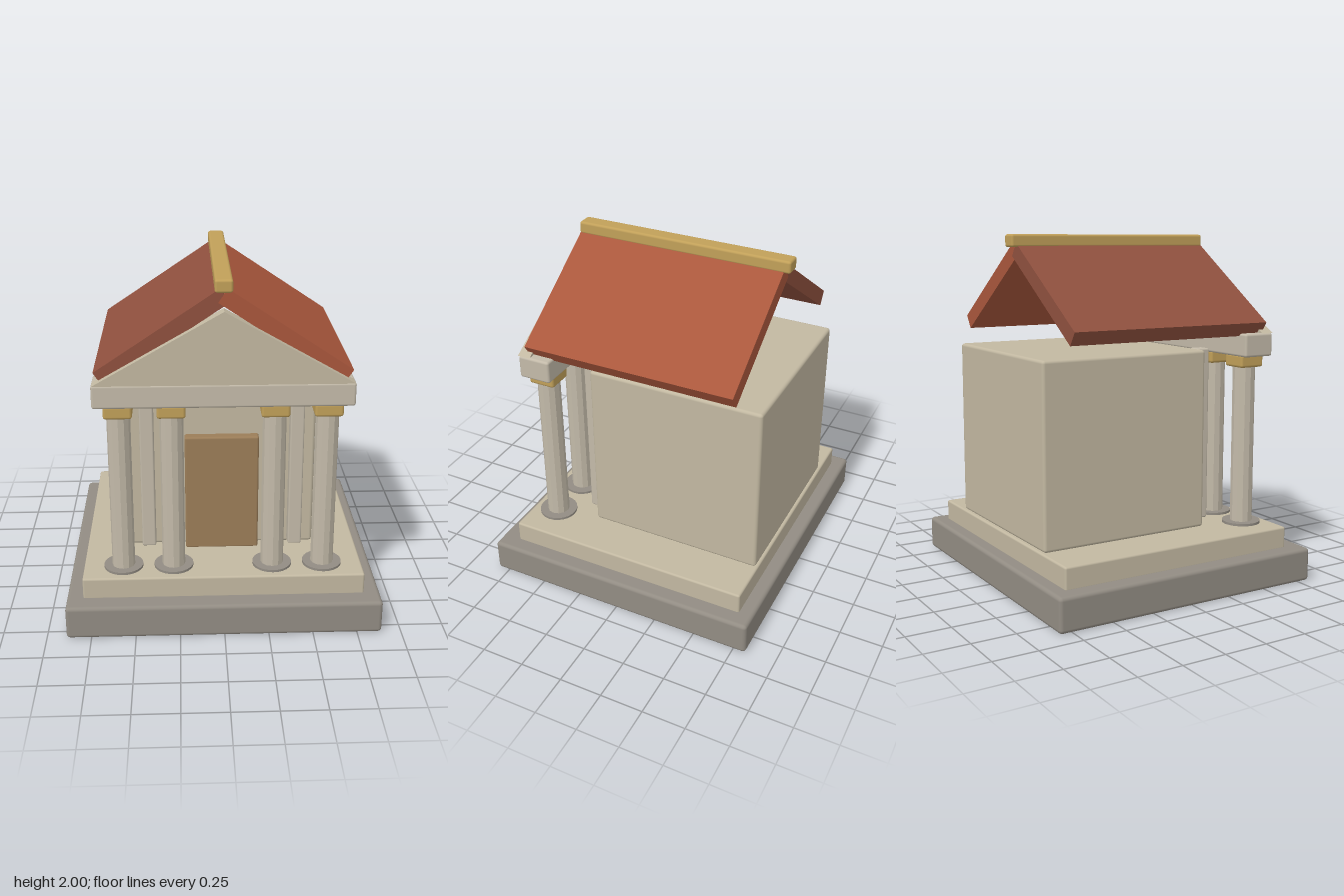
import * as THREE from 'three';
import { RoundedBoxGeometry } from 'three/addons/geometries/RoundedBoxGeometry.js';

const material = (name, color, extra = {}) => {
  const m = new THREE.MeshStandardMaterial({ color, ...extra });
  m.name = name;
  return m;
};

export function createModel() {
  const model = new THREE.Group();
  model.name = 'temple';

  const darkStone = material('darkStone', 0x928c83);
  const limestone = material('limestone', 0xc2b8a1);
  const marble = material('marble', 0xc3baa9);
  const fluted = marble.clone();
  fluted.flatShading = true;
  const gold = material('gold', 0xc1a059);
  const wood = material('wood', 0x9b7d58);
  const tileBright = material('tileBright', 0xa9573c);
  const tileDull = material('tileDull', 0x8f503e);

  const add = (name, geometry, mat, x = 0, y = 0, z = 0, parent = model) => {
    const mesh = new THREE.Mesh(geometry, mat);
    mesh.name = name;
    mesh.position.set(x, y, z);
    parent.add(mesh);
    return mesh;
  };

  // Soft-edged block given by its extents on each axis
  const block = (name, mat, [x0, x1], [y0, y1], [z0, z1], radius = 0.012, parent = model) =>
    add(name, new RoundedBoxGeometry(x1 - x0, y1 - y0, z1 - z0, 2, radius), mat,
      (x0 + x1) / 2, (y0 + y1) / 2, (z0 + z1) / 2, parent);

  // Stepped platform
  block('base', darkStone, [-0.89, 0.89], [0, 0.195], [-0.825, 0.825], 0.022);
  block('step', limestone, [-0.797, 0.797], [0.185, 0.316], [-0.743, 0.715], 0.012);

  // Inner chamber with its door and wall posts
  block('chamber', limestone, [-0.541, 0.541], [0.316, 1.35], [-0.73, 0.31], 0.018);
  block('door', wood, [-0.213, 0.213], [0.31, 1.02], [0.29, 0.365], 0.012);
  for (const s of [-1, 1]) {
    const x = s * 0.428;
    block('wallPost', marble, [x - 0.04, x + 0.04], [0.343, 1.35], [0.308, 0.39], 0.01);
  }

  // Four columns, each with a foot disc and a gilded capital
  const columnZ = 0.564;
  for (const x of [-0.57, -0.283, 0.28, 0.568]) {
    const column = new THREE.Group();
    column.name = 'column';
    column.position.set(x, 0, columnZ);
    model.add(column);
    add('foot', new THREE.CylinderGeometry(0.112, 0.112, 0.02, 24), darkStone, 0, 0.32, 0, column);
    add('shaft', new THREE.CylinderGeometry(0.065, 0.065, 0.94, 12), fluted, 0, 0.79, 0, column);
    block('capital', gold, [-0.078, 0.078], [1.245, 1.32], [-0.079, 0.079], 0.015, column);
  }

  // Beam over the columns
  block('beam', marble, [-0.705, 0.705], [1.312, 1.445], [0.468, 0.66], 0.014);

  // Triangular gable at the front
  const gable = new THREE.Shape();
  gable.moveTo(-0.7, 1.443);
  gable.lineTo(0.7, 1.443);
  gable.lineTo(0, 1.842);
  gable.closePath();
  add('gable', new THREE.ExtrudeGeometry(gable, { depth: 0.075, bevelEnabled: false }), limestone, 0, 0, 0.59);

  // Two sloping roof slabs, placed by the top edge at ridge and eave
  const ridgeX = 0.02, ridgeY = 1.953, eaveX = 0.692, eaveY = 1.505, thickness = 0.09;
  const run = eaveX - ridgeX, drop = ridgeY - eaveY;
  const slope = Math.atan2(drop, run);
  for (const s of [-1, 1]) {
    const slab = add('roofSlab', new THREE.BoxGeometry(Math.hypot(run, drop), thickness, 1.245),
      s > 0 ? tileBright : tileDull,
      s * ((ridgeX + eaveX) / 2 - Math.sin(slope) * thickness / 2),
      (ridgeY + eaveY) / 2 - Math.cos(slope) * thickness / 2, 0);
    slab.rotation.z = -s * slope;
  }

  // Gilded ridge cap
  block('ridgeCap', gold, [-0.048, 0.048], [1.928, 2], [-0.66, 0.628], 0.014);

  return model;
}
